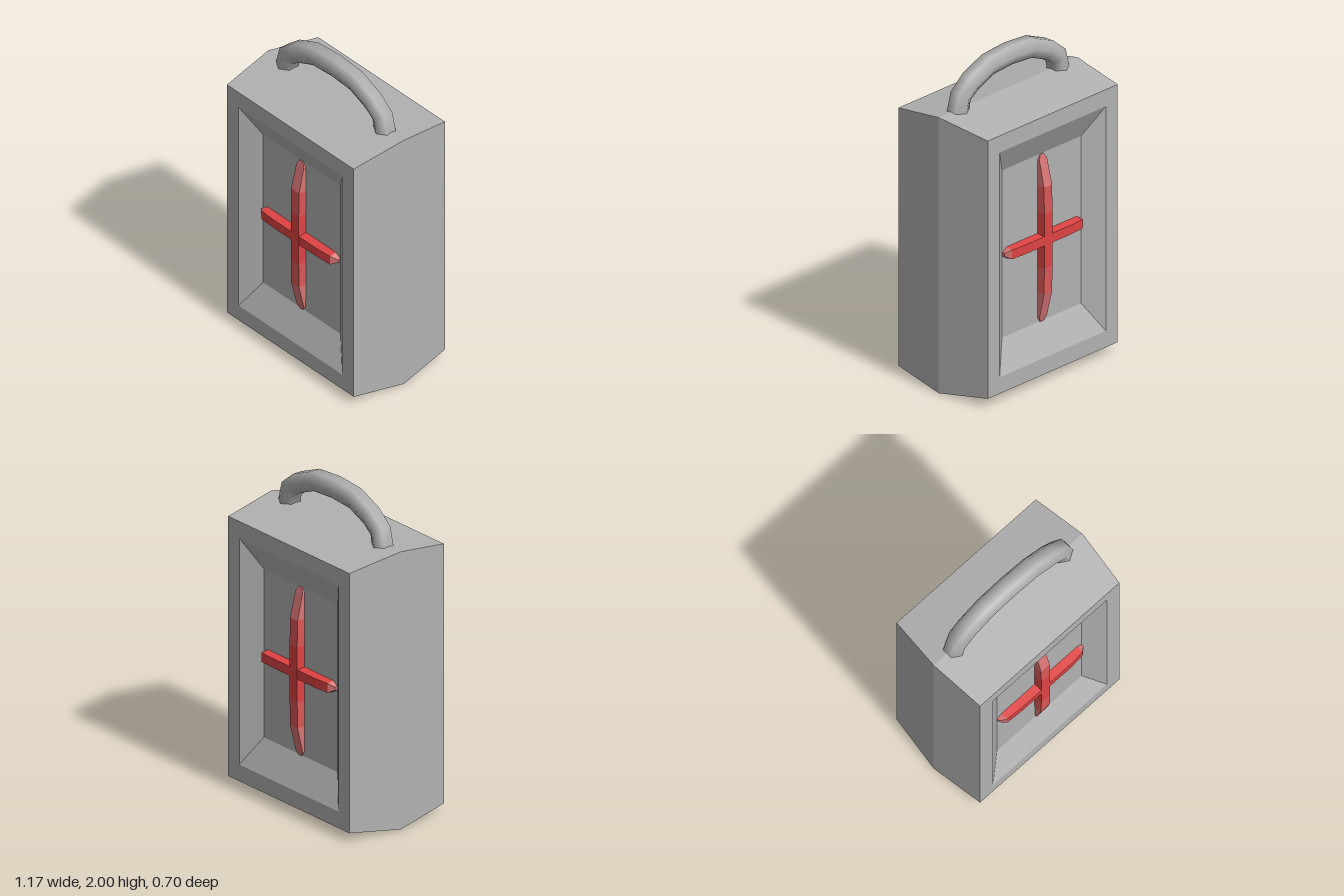
import * as THREE from 'three';

// Four-cornered loops joined into a closed, flat-shaded solid; one group per section
function loft(loops, materialOf = () => 0) {
  const index = [];
  const groups = [];
  const quad = (a, b, c, d) => index.push(a, b, c, a, c, d);
  quad(0, 1, 2, 3);
  for (let k = 0; k < loops.length - 1; k++) {
    const a = k * 4, n = a + 4;
    const start = k === 0 ? 0 : index.length;
    for (let i = 0; i < 4; i++) {
      const j = (i + 1) % 4;
      quad(n + i, n + j, a + j, a + i);
    }
    const e = (loops.length - 1) * 4;
    if (n === e) quad(e, e + 3, e + 2, e + 1);
    groups.push([start, index.length - start, materialOf(k)]);
  }
  const indexed = new THREE.BufferGeometry();
  indexed.setAttribute('position', new THREE.Float32BufferAttribute(loops.flat(2), 3));
  indexed.setIndex(index);
  const geometry = indexed.toNonIndexed();
  groups.forEach((g) => geometry.addGroup(...g));
  geometry.computeVertexNormals();
  return geometry;
}

// Case: rectangles [halfWidth, bottom, top, z] from the front panel to the back panel
function caseGeometry() {
  const half = [
    [0.335, 0.345, 1.395, 0.262], // recessed panel
    [0.45, 0.16, 1.57, 0.35],     // recess rim
    [0.55, 0.057, 1.675, 0.35],   // outer face edge
  ];
  const back = half.map(([w, b, t, z]) => [w, b, t, -z]).reverse();
  const sections = [...half, [0.587, 0, 1.73, 0], ...back];
  return loft(sections.map(([w, b, t, z]) => [[-w, b, z], [w, b, z], [w, t, z], [-w, t, z]]));
}

// Raised bar along x: half profile [offset, height, halfWidth, material of the section inward]
function barGeometry(profile, faceRatio) {
  const base = 0.255;
  const right = profile.map(([u, h, w]) => [u, h, w]);
  const left = right.map(([u, h, w]) => [-u, h, w]).reverse();
  const tones = profile.slice(0, -1).map((p) => p[3]);
  const sectionTones = [...tones, profile.at(-1)[3], ...tones.reverse()];
  const loops = [...right, ...left].map(([u, h, w]) => {
    const f = w * faceRatio;
    return [[u, -w, base], [u, w, base], [u, f, h], [u, -f, h]];
  });
  return loft(loops, (k) => sectionTones[k]);
}

// Carrying handle: six-sided tube with a ring on every profile point
function handleGeometry() {
  const half = [[0.428, 1.7], [0.403, 1.805], [0.32, 1.87], [0.175, 1.93]];
  const points = [
    ...half.map(([x, y]) => new THREE.Vector3(-x, y, 0)),
    new THREE.Vector3(0, 1.943, 0),
    ...half.map(([x, y]) => new THREE.Vector3(x, y, 0)).reverse(),
  ];
  const curve = new THREE.CatmullRomCurve3(points);
  curve.getPointAt = (t, target) => curve.getPoint(t, target);
  curve.getTangentAt = (t, target) => curve.getTangent(t, target);
  return new THREE.TubeGeometry(curve, points.length - 1, 0.067, 6, false);
}

export function createModel() {
  const model = new THREE.Group();
  const paint = (name, color) => {
    const material = new THREE.MeshStandardMaterial({ color });
    material.name = name;
    return material;
  };
  const grey = paint('grey metal', 0xb2b2b2);
  const reds = [paint('red', 0xdf4343), paint('worn red', 0xdb5858), paint('pale red', 0xd67474)];

  const add = (name, geometry, material, parent = model) => {
    const mesh = new THREE.Mesh(geometry, material);
    mesh.name = name;
    parent.add(mesh);
    return mesh;
  };

  add('case', caseGeometry(), [grey]);
  add('handle', handleGeometry(), grey);

  // Crossed bars on the recessed panels, paler towards the ends
  const upright = barGeometry([
    [0.525, 0.266, 0.015, 2], [0.495, 0.275, 0.034, 2], [0.335, 0.313, 0.036, 1],
    [0.17, 0.316, 0.036, 0],
  ], 0.95);
  const crossbar = barGeometry([
    [0.333, 0.28, 0.012, 2], [0.298, 0.308, 0.036, 0], [0.2, 0.315, 0.036, 0],
  ], 0.8);
  for (const [side, angle] of [['front', 0], ['back', Math.PI]]) {
    const cross = new THREE.Group();
    cross.name = side + 'Cross';
    cross.rotation.y = angle;
    add(side + 'UprightBar', upright, reds, cross).rotation.z = Math.PI / 2;
    add(side + 'CrossBar', crossbar, reds, cross);
    cross.children.forEach((bar) => { bar.position.y = 0.868; });
    model.add(cross);
  }
  return model;
}
